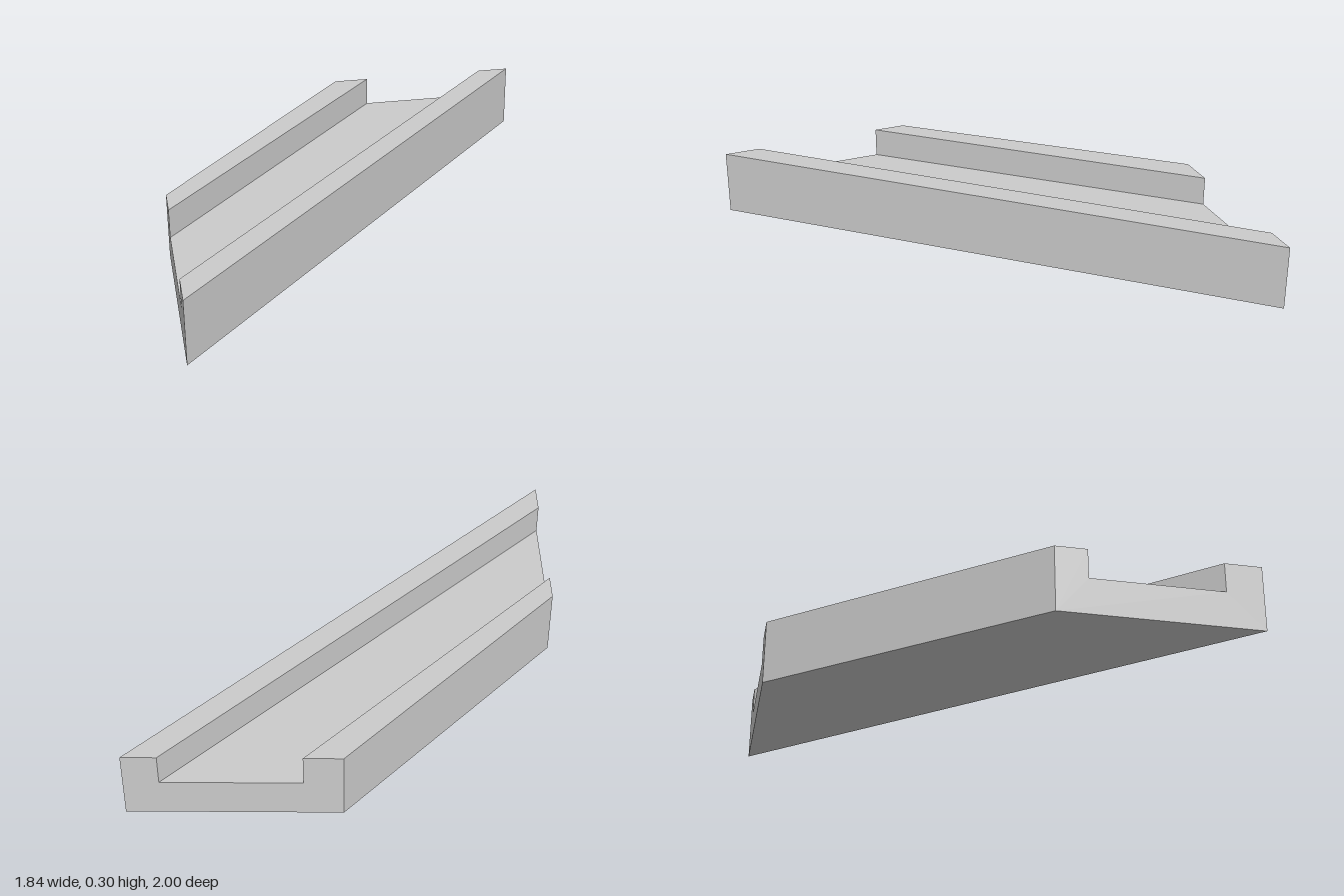
import * as THREE from 'three';

const HEIGHT = 0.3;
const FLOOR = 0.165;
// Across the channel: outer edge, inner edge, inner edge, outer edge
const BACK_X = [0.02, 0.185, 0.772, 0.92]; // on the end cut at z = -1
const SIDE_Z = [0.1, 0.243, 0.834, 1]; // on the end cut at x = -0.92

export function createModel() {
  const group = new THREE.Group();

  // U-shaped section; its x counts the edges across the channel
  const section = new THREE.Shape([
    [0, 0], [3, 0], [3, HEIGHT], [2, HEIGHT],
    [2, FLOOR], [1, FLOOR], [1, HEIGHT], [0, HEIGHT],
  ].map(([x, y]) => new THREE.Vector2(x, y)));
  const geometry = new THREE.ExtrudeGeometry(section, { depth: 1, bevelEnabled: false });

  // Move each end of the extrusion onto its mitred cut
  const pos = geometry.attributes.position;
  for (let i = 0; i < pos.count; i++) {
    const edge = Math.round(pos.getX(i));
    const y = pos.getY(i);
    if (pos.getZ(i) < 0.5) pos.setXYZ(i, BACK_X[edge], y, -1);
    else pos.setXYZ(i, -0.92, y, SIDE_Z[edge]);
  }
  geometry.computeVertexNormals();

  const channel = new THREE.Mesh(
    geometry,
    new THREE.MeshStandardMaterial({ color: 0xcccccc, flatShading: true }),
  );
  channel.name = 'mitredChannel';
  group.add(channel);
  return group;
}
